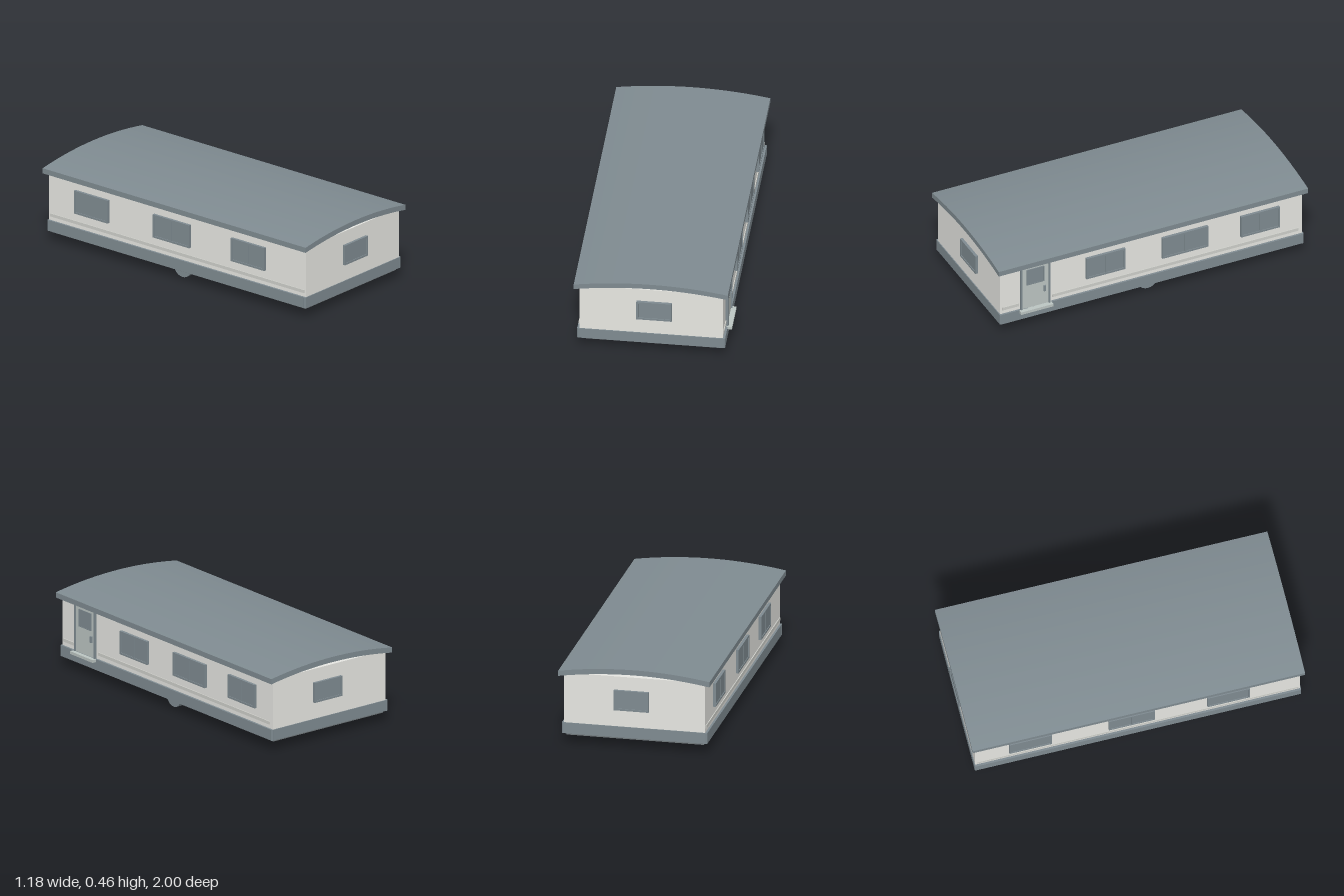
import * as THREE from 'three';

const mat = (name, color) => {
  const m = new THREE.MeshStandardMaterial({ color });
  m.name = name;
  return m;
};

export function createModel() {
  const cladding = mat('pale cladding', 0xe7e7e2);
  const trim = mat('cladding trim', 0xcfd0cb);
  const slate = mat('slate blue', 0x7f8b91);
  const doorPaint = mat('door paint', 0xbcc5c2);
  const chassisPaint = mat('chassis grey', 0x71797c);

  const W = 0.395, L = 0.914; // wall half width and half length
  const model = new THREE.Group();
  model.name = 'mobileHome';
  const home = new THREE.Group();
  home.name = 'body';
  home.rotation.y = 0.184; // the home stands at a slight angle
  model.add(home);

  const add = (parent, name, geo, material, x = 0, y = 0, z = 0) => {
    const m = new THREE.Mesh(geo, material);
    m.name = name;
    m.position.set(x, y, z);
    parent.add(m);
    return m;
  };
  const box = (parent, name, material, w, h, d, x, y, z) =>
    add(parent, name, new THREE.BoxGeometry(w, h, d), material, x, y, z);

  // Rectangular frame, its back on z = 0
  const frameGeo = (w, h, border, depth) => {
    const rect = (Type, a, b) => new Type([
      new THREE.Vector2(-a, -b), new THREE.Vector2(a, -b),
      new THREE.Vector2(a, b), new THREE.Vector2(-a, b)]);
    const s = rect(THREE.Shape, w / 2, h / 2);
    s.holes.push(rect(THREE.Path, w / 2 - border, h / 2 - border));
    return new THREE.ExtrudeGeometry(s, { depth, bevelEnabled: false });
  };

  // Walls, skirt and chassis
  box(home, 'walls', cladding, 2 * W, 0.29, 2 * L, 0, 0.265, 0);
  for (const s of [-1, 1]) {
    box(home, 'sideSkirt', slate, 0.014, 0.062, 1.828, s * 0.4, 0.091, 0);
    box(home, 'endSkirt', slate, 0.79, 0.062, 0.014, 0, 0.091, s * 0.912);
    for (const t of [-1, 1])
      add(home, 'skirtCorner', new THREE.CylinderGeometry(0.009, 0.009, 0.062, 12),
        slate, s * 0.399, 0.091, t * 0.911);
  }
  box(home, 'chassis', chassisPaint, 0.77, 0.08, 1.808, 0, 0.088, 0);

  // Shallow arched roof of even thickness
  const half = 0.424, rise = 0.036;
  const R = (half * half + rise * rise) / (2 * rise);
  const a = Math.asin(half / R), up = Math.PI / 2;
  const profile = new THREE.Shape();
  profile.absarc(0, 0.461 - R, R, up - a, up + a, false);
  profile.absarc(0, 0.431 - R, R, up + a, up - a, true);
  const roofGeo = new THREE.ExtrudeGeometry(profile,
    { depth: 1.872, bevelEnabled: false, curveSegments: 16 });
  add(home, 'roof', roofGeo, slate, 0, 0, -0.936);

  // Window with a slightly recessed pane and optional centre bar, facing +z
  const addWindow = (x, y, z, turn, w, h, centreBar) => {
    const g = new THREE.Group();
    g.name = 'window';
    g.position.set(x, y, z);
    g.rotation.y = turn;
    add(g, 'windowFrame', frameGeo(w, h, 0.011, 0.016), slate);
    box(g, 'windowPane', slate, w - 0.02, h - 0.02, 0.012, 0, 0, 0.006);
    if (centreBar) box(g, 'centreBar', slate, 0.008, h - 0.02, 0.015, 0, 0, 0.0075);
    home.add(g);
  };
  for (const [z, w] of [[0.28, 0.236], [-0.2, 0.278], [-0.655, 0.235]])
    addWindow(W, 0.2765, z, up, w, 0.134, true);
  for (const [z, w] of [[0.51, 0.24], [-0.035, 0.26], [-0.605, 0.24]])
    addWindow(-W, 0.2755, z, -up, w, 0.134, true);
  addWindow(0.017, 0.276, L, 0, 0.195, 0.115, false);
  addWindow(0.017, 0.276, -L, Math.PI, 0.195, 0.115, false);

  // Rub rails along the sides, broken at the door
  box(home, 'rubRail', trim, 0.01, 0.018, 1.81, -W, 0.153, 0);
  box(home, 'rubRail', trim, 0.01, 0.018, 1.49, W, 0.154, -0.144);
  box(home, 'rubRail', trim, 0.01, 0.018, 0.1, W, 0.154, 0.852);

  // Entrance door with dark jambs
  const door = new THREE.Group();
  door.name = 'door';
  door.position.set(W, 0.26, 0.706);
  door.rotation.y = up;
  home.add(door);
  box(door, 'doorLeaf', doorPaint, 0.166, 0.28, 0.008, 0, 0, 0.004);
  for (const s of [-1, 1])
    box(door, 'doorJamb', slate, 0.008, 0.285, 0.016, s * 0.085, 0, 0.008);
  add(door, 'doorWindowFrame', frameGeo(0.106, 0.1, 0.006, 0.005), slate, 0, 0.063, 0.008);
  box(door, 'doorPane', slate, 0.096, 0.09, 0.004, 0, 0.063, 0.01);
  box(door, 'doorHandle', slate, 0.012, 0.036, 0.012, 0.056, -0.035, 0.012);
  box(door, 'doorStep', doorPaint, 0.196, 0.016, 0.036, 0, -0.146, 0.018);

  // One wheel on each side
  for (const x of [-0.335, 0.335]) {
    const wheel = add(home, 'wheel',
      new THREE.CylinderGeometry(0.062, 0.062, 0.037, 24), slate, x, 0.062, 0);
    wheel.rotation.z = up;
  }

  return model;
}
